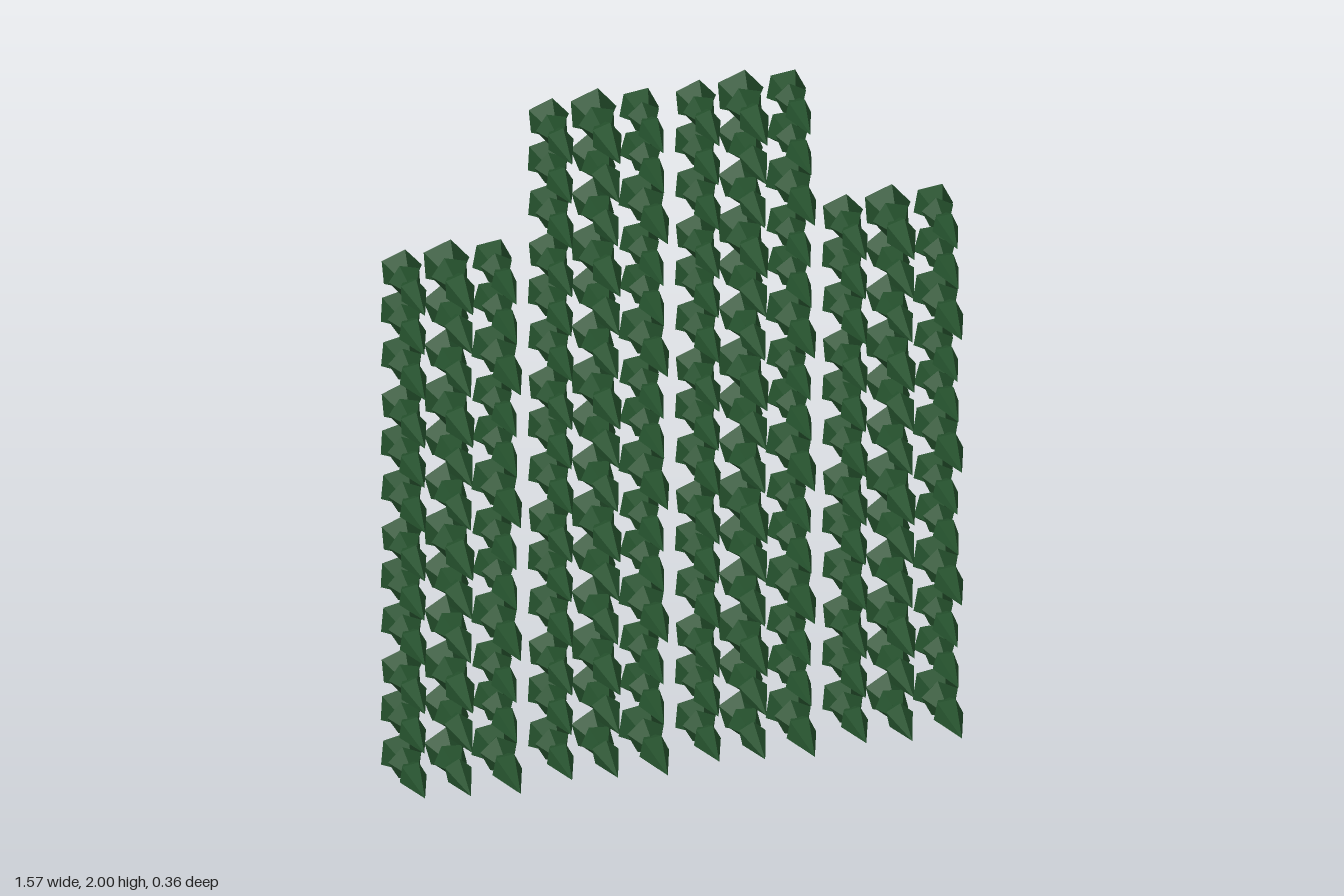
import * as THREE from 'three';
import { mergeGeometries } from 'three/addons/utils/BufferGeometryUtils.js';

const SIDES = 5;
const leafMat = new THREE.MeshStandardMaterial({ color: 0x24502c, flatShading: true });
const barkMat = new THREE.MeshStandardMaterial({ color: 0x4a2f20, flatShading: true });

// Tier profiles of a tree with length 1, as [radius, distance from trunk end]
const TIERS = [
  [[0, 0.1], [0.135, 0.1], [0.187, 0.155], [0.105, 0.315], [0, 0.33]],
  [[0, 0.29], [0.11, 0.29], [0.148, 0.345], [0.075, 0.5], [0, 0.52]],
  [[0, 0.47], [0.075, 0.47], [0.12, 0.57], [0, 1]],
];
const tiers = TIERS.map((profile, i) => {
  const g = new THREE.LatheGeometry(profile.map(([r, y]) => new THREE.Vector2(r, y)), SIDES);
  return g.rotateY(Math.PI / 2 + i * 0.6);
});
// Trees lie along +z
const foliageGeo = mergeGeometries(tiers).rotateX(Math.PI / 2);
const trunkGeo = new THREE.CylinderGeometry(0.022, 0.026, 0.14, 6)
  .translate(0, 0.07, 0).rotateX(Math.PI / 2);

// Nine trees of one patch: x, y from patch centre, radius scale, length, turn in degrees
const PATCH = [
  [-0.135, -0.128, 0.325, 0.31, -5],
  [-0.014, -0.13, 0.32, 0.325, 15],
  [0.116, -0.13, 0.355, 0.345, -8],
  [-0.137, 0.008, 0.325, 0.31, -3],
  [-0.014, 0.009, 0.335, 0.34, 20],
  [0.114, 0.007, 0.305, 0.315, -15],
  [-0.135, 0.126, 0.315, 0.31, 5],
  [-0.016, 0.135, 0.36, 0.355, 4],
  [0.112, 0.128, 0.305, 0.315, -10],
];

function makeTree([x, y, width, length, turn]) {
  const tree = new THREE.Group();
  tree.name = 'tree';
  const foliage = new THREE.Mesh(foliageGeo, leafMat);
  foliage.name = 'foliage';
  const trunk = new THREE.Mesh(trunkGeo, barkMat);
  trunk.name = 'trunk';
  // Turn the crown inside the scaled tree
  foliage.rotation.z = THREE.MathUtils.degToRad(turn);
  tree.add(foliage, trunk);
  tree.scale.set(width, width, length);
  tree.position.set(x, y, -0.18);
  return tree;
}

export function createModel() {
  const model = new THREE.Group();
  model.name = 'treePatches';
  // Outer columns have four patches, the middle ones five
  [4, 5, 5, 4].forEach((count, column) => {
    for (let row = 0; row < count; row++) {
      const patch = new THREE.Group();
      patch.name = 'treePatch';
      PATCH.forEach((t) => patch.add(makeTree(t)));
      patch.position.set(-0.6 + column * 0.4, 0.2 + row * 0.4, 0);
      model.add(patch);
    }
  });
  return model;
}
